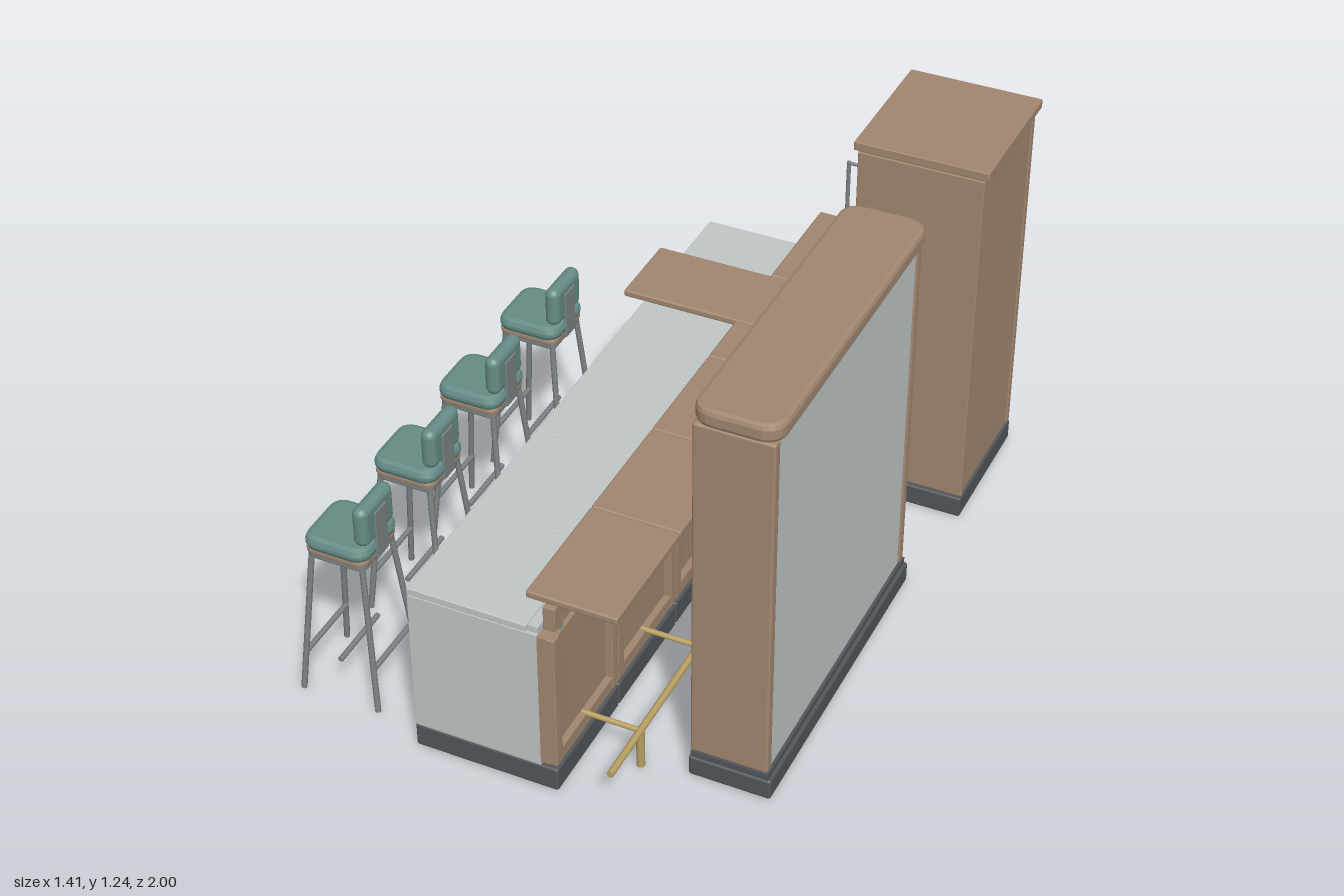
import * as THREE from 'three';
import { RoundedBoxGeometry } from 'three/addons/geometries/RoundedBoxGeometry.js';

const colour = (name, hex) => {
  const m = new THREE.MeshStandardMaterial({ color: hex });
  m.name = name;
  return m;
};

export function createModel() {
  const wood = colour('wood', 0xa28770);
  const pale = colour('pale grey', 0xc0c7c6);
  const dark = colour('dark plinth', 0x52565a);
  const brass = colour('brass', 0xb9a062);
  const steel = colour('steel', 0x7c8283);
  const teal = colour('teal fabric', 0x668c87);

  const model = new THREE.Group();
  model.name = 'barCounterSet';
  const group = (name) => {
    const g = new THREE.Group();
    g.name = name;
    model.add(g);
    return g;
  };
  const add = (parent, name, geo, mat) => {
    const m = new THREE.Mesh(geo, mat);
    m.name = name;
    parent.add(m);
    return m;
  };
  // Box given by its limits, with softened edges when r > 0
  const box = (parent, name, mat, x0, x1, y0, y1, z0, z1, r = 0) => {
    const s = [x1 - x0, y1 - y0, z1 - z0];
    const geo = r ? new RoundedBoxGeometry(...s, 2, r) : new THREE.BoxGeometry(...s);
    add(parent, name, geo, mat).position.set((x0 + x1) / 2, (y0 + y1) / 2, (z0 + z1) / 2);
  };
  // Round bar between two points
  const rod = (parent, name, mat, a, b, r, sides = 12) => {
    const p = new THREE.Vector3(...a), q = new THREE.Vector3(...b);
    const d = q.clone().sub(p);
    const m = add(parent, name, new THREE.CylinderGeometry(r, r, d.length(), sides), mat);
    m.position.copy(p).add(q).multiplyScalar(0.5);
    m.quaternion.setFromUnitVectors(new THREE.Vector3(0, 1, 0), d.normalize());
  };
  // Slab with rounded plan corners and bevelled rims
  const roundedSlab = (parent, name, mat, x0, x1, y0, y1, z0, z1, r, bevel) => {
    const w = (x1 - x0) / 2 - bevel, d = (z1 - z0) / 2 - bevel;
    const s = new THREE.Shape();
    s.moveTo(-w + r, -d).lineTo(w - r, -d).quadraticCurveTo(w, -d, w, -d + r);
    s.lineTo(w, d - r).quadraticCurveTo(w, d, w - r, d);
    s.lineTo(-w + r, d).quadraticCurveTo(-w, d, -w, d - r);
    s.lineTo(-w, -d + r).quadraticCurveTo(-w, -d, -w + r, -d);
    const geo = new THREE.ExtrudeGeometry(s, {
      depth: y1 - y0 - 2 * bevel, bevelSize: bevel, bevelThickness: bevel, bevelSegments: 2, curveSegments: 6,
    });
    geo.rotateX(-Math.PI / 2);
    add(parent, name, geo, mat).position.set((x0 + x1) / 2, y0 + bevel, (z0 + z1) / 2);
  };

  // Counter units: four in a row and one past the crossing
  const counter = group('counter');
  const units = [[0.618, 0.99], [0.245, 0.617], [-0.128, 0.244], [-0.5, -0.129], [-0.93, -0.56]];
  units.forEach(([z0, z1]) => {
    const mid = (z0 + z1) / 2;
    box(counter, 'unitPlinth', dark, -0.302, 0.13, 0, 0.076, z0, z1, 0.008);
    box(counter, 'unitBody', pale, -0.3, 0.08, 0.078, 0.533, z0, z1);
    box(counter, 'worktop', pale, -0.302, 0.05, 0.536, 0.558, z0, z1, 0.003);
    box(counter, 'worktopUpstand', pale, 0.05, 0.08, 0.533, 0.553, z0 + 0.01, z1 - 0.01);
    // Framed panel on the service side
    box(counter, 'backPanel', wood, 0.08, 0.108, 0.09, 0.53, z0, z1);
    [[z0, z0 + 0.035], [z1 - 0.035, z1]].forEach(([a, b]) =>
      box(counter, 'panelStile', wood, 0.1, 0.13, 0.09, 0.53, a, b, 0.003));
    [[0.09, 0.13], [0.49, 0.53]].forEach(([a, b]) =>
      box(counter, 'panelRail', wood, 0.1, 0.128, a, b, z0 + 0.03, z1 - 0.03));
    // Rail post and bracket
    rod(counter, 'footRailPost', brass, [0.285, 0, mid], [0.285, 0.126, mid], 0.012);
    rod(counter, 'footRailArm', brass, [0.11, 0.126, mid], [0.285, 0.126, mid], 0.008);
    // Short pegs carrying the raised top
    [z0 + 0.06, z1 - 0.06].forEach((z) => {
      rod(counter, 'topPeg', steel, [0.117, 0.635, z], [0.117, 0.665, z], 0.007);
      rod(counter, 'apronPeg', steel, [0.117, 0.525, z], [0.117, 0.57, z], 0.007);
    });
  });
  rod(counter, 'footRail', brass, [0.285, 0.126, -0.95], [0.285, 0.126, 0.99], 0.01);
  rod(counter, 'crossingPost', brass, [0.285, 0, -0.343], [0.285, 0.126, -0.343], 0.012);
  rod(counter, 'frontKnob', brass, [-0.3, 0.126, -0.345], [-0.316, 0.126, -0.345], 0.01);
  box(counter, 'hinge', steel, -0.31, -0.295, 0.1, 0.13, -0.53, -0.495);
  box(counter, 'crossingFiller', wood, -0.295, 0.13, 0.09, 0.53, -0.545, -0.51);

  // Apron boards and raised wooden top
  box(counter, 'longApron', wood, 0.1, 0.135, 0.565, 0.64, -0.93, 0.99, 0.003);
  box(counter, 'crossApron', wood, -0.305, 0.1, 0.565, 0.64, -0.545, -0.505, 0.003);
  const tops = [[0.618, 0.995], [0.245, 0.617], [-0.128, 0.244], [-0.319, -0.129], [-0.95, -0.571]];
  tops.forEach(([a, b]) => box(counter, 'raisedTop', wood, 0.055, 0.315, 0.659, 0.681, a, b, 0.006));
  box(counter, 'crossTop', wood, -0.302, 0.315, 0.659, 0.681, -0.57, -0.32, 0.006);
  [-0.25, -0.1].forEach((x) => rod(counter, 'crossPeg', steel, [x, 0.63, -0.525], [x, 0.665, -0.525], 0.007));

  // Tall cabinet with a grey door
  const cabinet = group('tallCabinet');
  box(cabinet, 'cabinetPlinth', dark, 0.312, 0.692, 0, 0.067, -0.99, -0.552, 0.006);
  box(cabinet, 'cabinetBody', wood, 0.33, 0.685, 0.07, 1.18, -0.985, -0.565);
  [[-0.988, -0.965], [-0.585, -0.562]].forEach(([a, b]) =>
    box(cabinet, 'cabinetStile', wood, 0.314, 0.69, 0.07, 1.178, a, b, 0.003));
  box(cabinet, 'cabinetHeader', wood, 0.316, 0.34, 1.145, 1.178, -0.965, -0.585);
  box(cabinet, 'doorReveal', dark, 0.326, 0.332, 0.075, 1.145, -0.965, -0.585);
  box(cabinet, 'cabinetDoor', pale, 0.308, 0.327, 0.085, 1.13, -0.958, -0.592, 0.003);
  box(cabinet, 'cabinetCap', wood, 0.302, 0.704, 1.184, 1.211, -1, -0.558, 0.003);
  box(cabinet, 'capNeck', wood, 0.34, 0.67, 1.175, 1.19, -0.97, -0.58);
  rod(cabinet, 'doorHandle', steel, [0.266, 0.13, -0.622], [0.266, 1.1, -0.622], 0.006);
  [0.135, 1.095].forEach((y) =>
    rod(cabinet, 'handleBracket', steel, [0.266, y, -0.622], [0.312, y, -0.622], 0.005));

  // Open shelf unit facing the counter
  const shelf = group('shelfUnit');
  box(shelf, 'shelfPlinth', dark, 0.415, 0.655, 0, 0.065, -0.22, 0.782, 0.008);
  box(shelf, 'shelfPlinthStep', dark, 0.42, 0.645, 0.06, 0.083, -0.215, 0.777);
  [[-0.213, -0.18], [0.742, 0.775]].forEach(([a, b]) =>
    box(shelf, 'shelfSide', wood, 0.417, 0.642, 0.083, 1.182, a, b, 0.008));
  box(shelf, 'shelfBack', pale, 0.615, 0.636, 0.083, 1.18, -0.182, 0.744);
  box(shelf, 'shelfBase', wood, 0.425, 0.62, 0.083, 0.11, -0.182, 0.744);
  box(shelf, 'shelfHeader', wood, 0.425, 0.636, 1.172, 1.19, -0.182, 0.744);
  [0.345, 0.595, 0.85].forEach((y) =>
    box(shelf, 'shelfBoard', pale, 0.43, 0.62, y, y + 0.016, -0.182, 0.744));
  roundedSlab(shelf, 'shelfCap', wood, 0.412, 0.657, 1.186, 1.24, -0.231, 0.787, 0.05, 0.014);

  // Bar stools
  [-0.322, 0.054, 0.428, 0.802].forEach((z) => {
    const stool = group('barStool');
    stool.position.set(-0.58, 0, z);
    roundedSlab(stool, 'seatCushion', teal, -0.1, 0.1, 0.49, 0.535, -0.1, 0.1, 0.03, 0.018);
    roundedSlab(stool, 'seatTray', wood, -0.095, 0.095, 0.48, 0.496, -0.095, 0.095, 0.03, 0.004);
    roundedSlab(stool, 'seatPlate', steel, -0.09, 0.09, 0.462, 0.482, -0.09, 0.09, 0.02, 0.004);
    const back = add(stool, 'backrest', new RoundedBoxGeometry(0.046, 0.125, 0.16, 4, 0.022), teal);
    back.position.set(0.075, 0.599, 0);
    box(stool, 'backrestBracket', steel, 0.092, 0.102, 0.475, 0.63, -0.03, 0.03, 0.003);
    for (const sx of [-1, 1]) for (const sz of [-1, 1])
      rod(stool, 'stoolLeg', steel, [sx * 0.078, 0.468, sz * 0.078], [sx * 0.118, 0, sz * 0.118], 0.0085);
    [-0.103, 0, 0.103].forEach((x) =>
      rod(stool, 'footBar', steel, [x, 0.133, -0.103], [x, 0.133, 0.103], 0.008));
  });

  return model;
}
